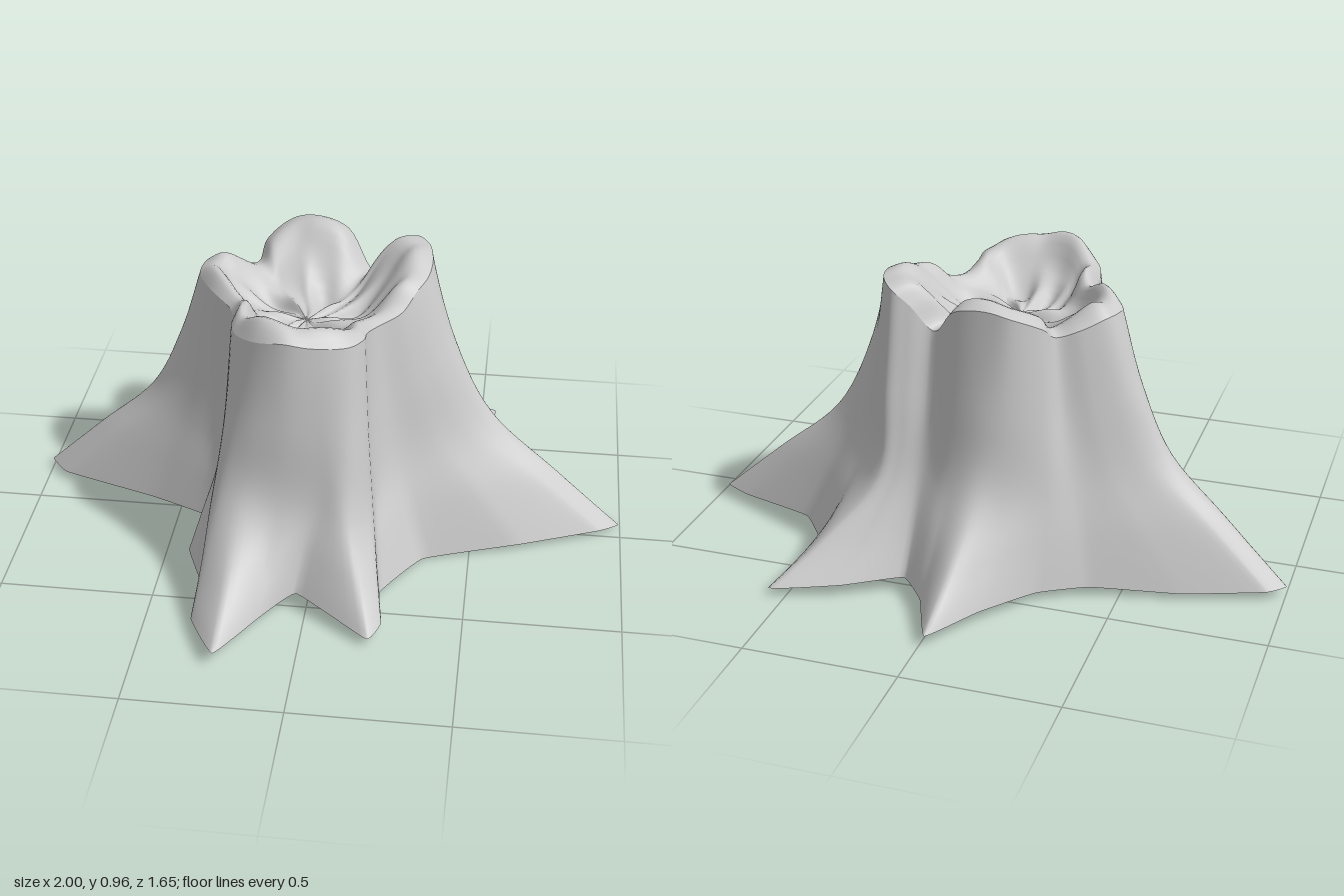
import * as THREE from 'three';

const AROUND = 180;

// Outlines as x, z, y triples, running back, left (+x), front, right (-x); one station per triple
const BASE = [
  -.02, -.83, .04, .06, -.65, .05, .155, -.54, .05, .33, -.63, .04, .55, -.7, .03,
  .51, -.385, .03, .625, -.225, .03, .89, -.13, .02, .995, -.06, .01, .925, 0, .02,
  .66, .11, .02, .35, .2, 0, .23, .43, .03, .25, .6, .04, .21, .67, .03,
  -.03, .51, .06, -.13, .63, .05, -.245, .825, .055, -.345, .65, .04, -.35, .455, .03,
  -.42, .28, .03, -.38, .11, .04, -.6, 0, .03, -.93, -.11, .03, -1, -.19, .03,
  -.945, -.245, .03, -.69, -.32, .02, -.41, -.385, .03, -.26, -.47, .03, -.13, -.65, .04];
const KNEE = [
  -.06, -.495, .36, .04, -.465, .36, .14, -.395, .4, .22, -.41, .36, .285, -.42, .33,
  .39, -.28, .34, .46, -.2, .38, .53, -.13, .4, .55, -.08, .4, .5, -.02, .39,
  .39, .05, .38, .255, .135, .34, .195, .26, .29, .19, .37, .29, .13, .45, .31,
  .03, .43, .36, -.1, .435, .34, -.23, .43, .34, -.315, .4, .29, -.325, .28, .28,
  -.34, .17, .28, -.35, .08, .3, -.46, 0, .37, -.58, -.09, .4, -.61, -.16, .4,
  -.565, -.21, .4, -.46, -.27, .37, -.34, -.32, .36, -.27, -.39, .34, -.15, -.465, .35];
const RIM = [
  -.08, -.42, .935, .03, -.39, .91, .13, -.3, .8, .2, -.315, .88, .26, -.32, .93,
  .31, -.25, .94, .325, -.19, .94, .33, -.13, .93, .32, -.07, .91, .29, -.01, .89,
  .25, .05, .845, .18, .12, .83, .155, .2, .85, .15, .27, .865, .11, .33, .87,
  0, .375, .885, -.08, .385, .9, -.17, .35, .88, -.24, .28, .86, -.27, .2, .85,
  -.275, .13, .84, -.3, .07, .84, -.37, 0, .86, -.42, -.09, .865, -.42, -.15, .87,
  -.4, -.2, .87, -.33, -.25, .84, -.26, -.28, .82, -.24, -.35, .87, -.16, -.42, .92];

function points(table) {
  const pts = [];
  for (let i = 0; i < table.length; i += 3) pts.push(new THREE.Vector3(table[i], table[i + 2], table[i + 1]));
  return pts;
}

// Closed loop through an outline, sampled evenly by station
function loop(curve) {
  return Array.from({ length: AROUND }, (_, i) => curve.getPoint(i / AROUND));
}
const smoothLoop = table => loop(new THREE.CatmullRomCurve3(points(table), true, 'centripetal'));
const straightLoop = table => loop(new THREE.CatmullRomCurve3(points(table), true, 'catmullrom', .15));

// Skin a stack of closed loops
function skin(rings, name) {
  const pos = [], index = [];
  rings.forEach(r => r.forEach(p => pos.push(p.x, p.y, p.z)));
  for (let j = 0; j < rings.length - 1; j++) {
    for (let i = 0; i < AROUND; i++) {
      const k = (i + 1) % AROUND;
      const a = j * AROUND + i, b = j * AROUND + k;
      index.push(a, a + AROUND, b, b, a + AROUND, b + AROUND);
    }
  }
  const geo = new THREE.BufferGeometry();
  geo.setAttribute('position', new THREE.Float32BufferAttribute(pos, 3));
  geo.setIndex(index);
  geo.computeVertexNormals();
  const mesh = new THREE.Mesh(geo, new THREE.MeshStandardMaterial({ color: 0xcccccc, side: THREE.DoubleSide }));
  mesh.name = name;
  return mesh;
}

export function createModel() {
  const group = new THREE.Group();
  group.name = 'treeStump';
  const base = straightLoop(BASE), knee = smoothLoop(KNEE), rim = smoothLoop(RIM);
  const core = new THREE.Vector3(-.06, .77, 0);

  // Bark: roots sweep up to the knee, then the trunk narrows to the rim
  const columns = base.map((b, i) => {
    const foot = b.clone().lerp(knee[i], .5);
    // Long front and back roots sag more than the side ones
    foot.y -= .1 * Math.max(0, Math.abs(b.z) - .45);
    const waist = knee[i].clone().lerp(rim[i], .57);
    waist.y += (knee[i].y - rim[i].y) * .1;
    return new THREE.CatmullRomCurve3([b, foot, knee[i], waist, rim[i]], false, 'centripetal');
  });
  const barkRings = [];
  for (let j = 0; j <= 24; j++) barkRings.push(columns.map(c => c.getPoint(j / 24)));
  group.add(skin(barkRings, 'barkAndRoots'));

  // Hollow top: a raised rounded lip, thicker at front and right, dropping to a wrinkled bowl
  const bowlRings = [];
  for (let j = 0; j <= 18; j++) {
    const t = (j / 18) ** 1.3;
    bowlRings.push(rim.map((p, i) => {
      const a = i / AROUND * Math.PI * 2;
      const q = p.clone().lerp(core, t);
      const crest = .015 + .065 * Math.max(0, p.z - p.x);
      const lip = crest * Math.sin(Math.PI * Math.min(t / .32, 1)) * (1 + .3 * Math.sin(a * 11));
      const drop = THREE.MathUtils.smoothstep(t, .12, .65);
      const wrinkle = Math.sin(Math.PI * t) * (.016 * Math.sin(a * 5 + t * 5) + .012 * Math.sin(a * 11 - t * 7));
      q.y = p.y + (core.y - p.y) * drop + lip + wrinkle * drop;
      return q;
    }));
  }
  group.add(skin(bowlRings, 'hollowTop'));
  return group;
}
